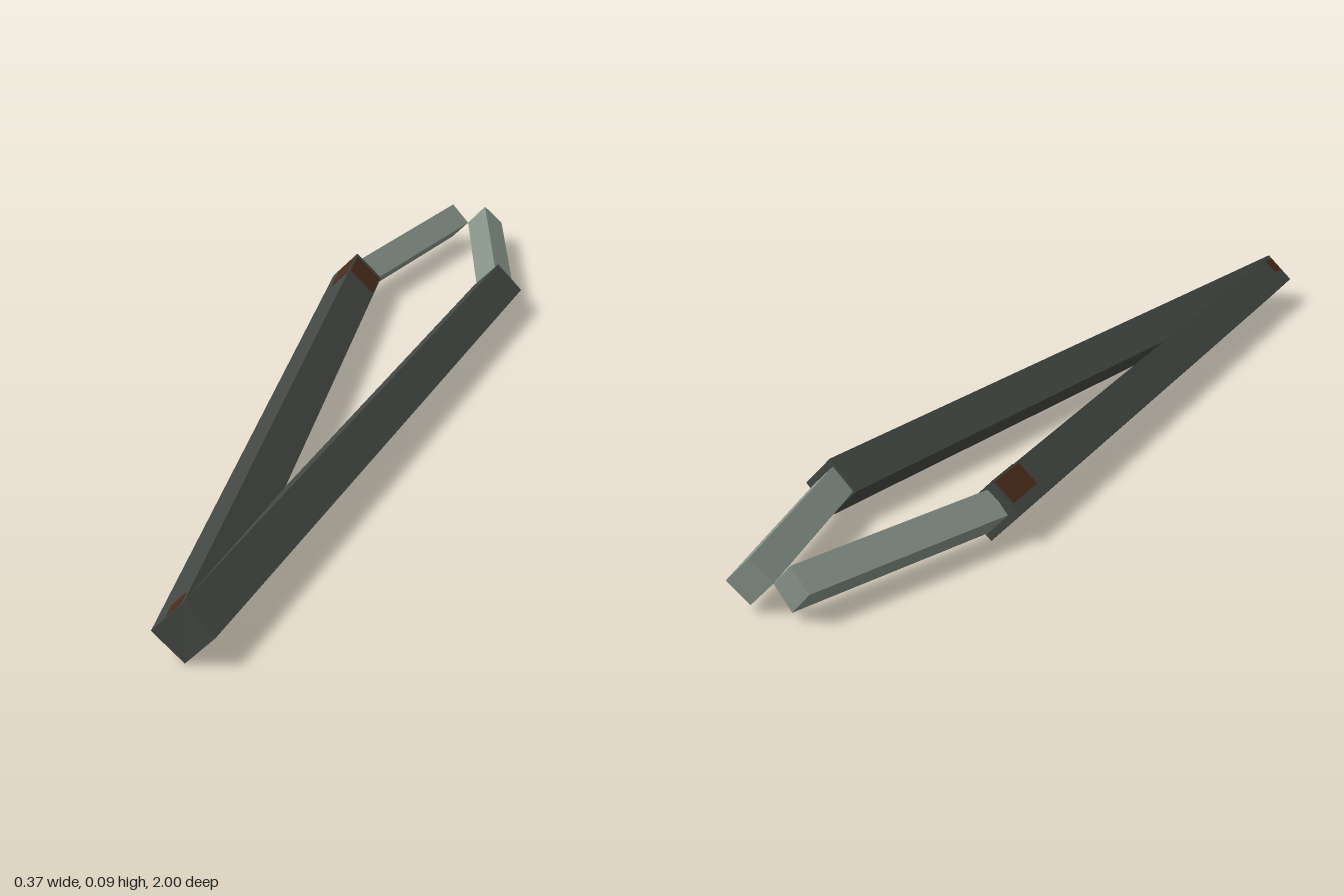
import * as THREE from 'three';

const Y = 0.047; // height of the centre line
const ARM_R = 0.047;
const TIP_R = 0.035;

const material = (name, color) => {
  const m = new THREE.MeshStandardMaterial({ color });
  m.name = name;
  return m;
};

// Diamond-section bar between two points [x, z]; its own -z runs from start to end
function bar(name, start, end, radius, mat) {
  const dx = end[0] - start[0], dz = end[1] - start[1];
  const length = Math.hypot(dx, dz);
  const group = new THREE.Group();
  group.name = name;
  let geo = new THREE.CylinderGeometry(radius, radius, length, 4).rotateX(-Math.PI / 2);
  geo = geo.toNonIndexed();
  geo.computeVertexNormals();
  const mesh = new THREE.Mesh(geo, mat);
  mesh.name = name + 'Bar';
  group.add(mesh);
  group.position.set((start[0] + end[0]) / 2, Y, (start[1] + end[1]) / 2);
  group.rotation.y = Math.atan2(-dx, -dz);
  group.userData.length = length;
  return group;
}

// Thin plate on one face of an arm: sx, sy pick the face,
// a to b runs from its side edge (0) to its ridge (1), from/to are distances from the tip end
function rustPatch(arm, sx, sy, a, b, from, to, mat) {
  const faceWidth = ARM_R * Math.SQRT2;
  const t = (a + b) / 2;
  const plate = new THREE.Mesh(
    new THREE.BoxGeometry((b - a) * faceWidth, 0.002, to - from), mat);
  plate.name = 'rustPatch';
  plate.position.set(sx * ARM_R * (1 - t), sy * ARM_R * t,
    -arm.userData.length / 2 + (from + to) / 2);
  plate.rotation.z = -sx * sy * Math.PI / 4;
  arm.add(plate);
}

export function createModel() {
  const model = new THREE.Group();
  model.name = 'tongs';
  const darkMetal = material('darkMetal', 0x434844);
  const paleMetal = material('paleMetal', 0x869288);
  const rust = material('rust', 0x4a2c1a);

  for (const side of [-1, 1]) {
    const label = side > 0 ? 'left' : 'right';
    const arm = bar(label + 'Arm', [0, 0.996], [side * 0.14, -0.58], ARM_R, darkMetal);
    const tip = bar(label + 'Tip', [side * 0.136, -0.575], [side * 0.034, -0.991], TIP_R, paleMetal);
    model.add(arm, tip);

    // Stains around the jaw end of the right arm and a speck by the joint
    if (side < 0) {
      rustPatch(arm, 1, 1, 0.05, 0.95, 0.015, 0.1, rust);
      rustPatch(arm, 1, -1, 0.05, 0.8, 0.015, 0.1, rust);
      rustPatch(arm, -1, 1, 0.3, 0.95, 0.01, 0.11, rust);
      const l = arm.userData.length;
      rustPatch(arm, -1, 1, 0.45, 0.9, l - 0.04, l - 0.005, rust);
    }
  }
  return model;
}
